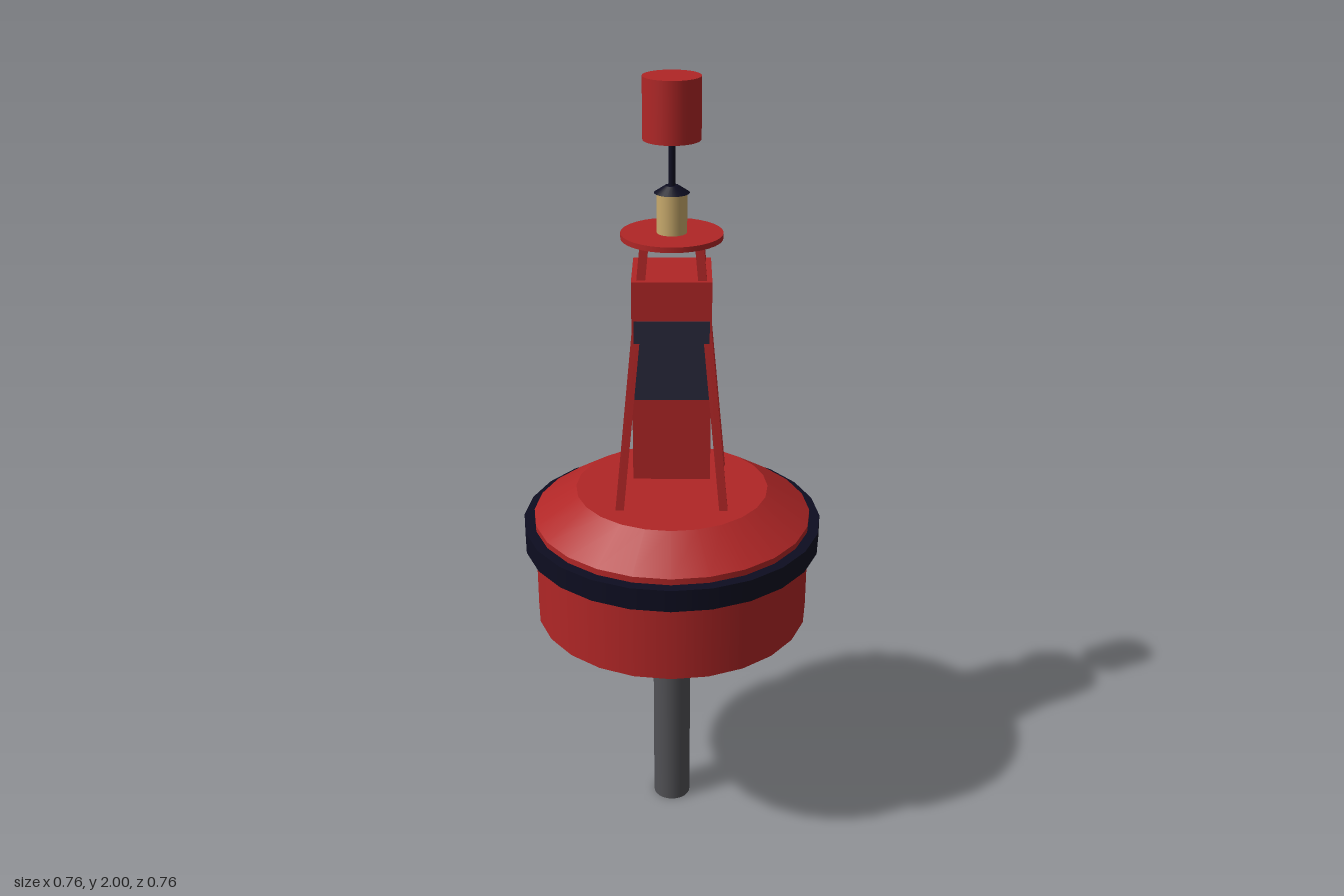
import * as THREE from 'three';

const paint = (name, color) => {
  const m = new THREE.MeshStandardMaterial({ color });
  m.name = name;
  return m;
};

export function createModel() {
  const red = paint('buoyRed', 0xb02626);
  const navy = paint('fenderNavy', 0x0d0d20);
  const slate = paint('panelSlate', 0x29293b);
  const grey = paint('poleGrey', 0x515155);
  const brass = paint('lanternBrass', 0xc8aa6c);

  const buoy = new THREE.Group();
  buoy.name = 'buoy';

  const add = (name, geometry, material) => {
    const mesh = new THREE.Mesh(geometry, material);
    mesh.name = name;
    buoy.add(mesh);
    return mesh;
  };

  // Upright round part between heights y0 and y1
  const round = (name, rBottom, rTop, y0, y1, material, sides = 24) => {
    const geometry = new THREE.CylinderGeometry(rTop, rBottom, y1 - y0, sides);
    add(name, geometry.translate(0, (y0 + y1) / 2, 0), material);
  };

  // Float and its tail tube
  round('tailTube', 0.05, 0.05, 0, 0.62, grey);
  round('floatBody', 0.355, 0.355, 0.617, 0.9, red);
  round('floatShoulder', 0.355, 0.245, 0.9, 0.97, red);
  round('fender', 0.382, 0.382, 0.826, 0.884, navy);

  // Square tower with a dark panel on the front and back
  const tower = new THREE.BoxGeometry(0.19, 0.51, 0.19).translate(0, 1.291, 0);
  add('tower', tower, red);
  for (const side of [1, -1]) {
    const panel = add('towerPanel', new THREE.BoxGeometry(0.18, 0.2, 0.004), slate);
    panel.position.set(0, 1.35, side * 0.0955);
  }

  // Four square legs leaning inward, each sheared toward the platform
  const [legBase, legTop, footOut, headOut] = [0.965, 1.63, 0.129, 0.064];
  for (const sx of [1, -1]) {
    for (const sz of [1, -1]) {
      const leg = new THREE.BoxGeometry(0.021, legTop - legBase, 0.021);
      const p = leg.attributes.position;
      for (let i = 0; i < p.count; i++) {
        const upper = p.getY(i) > 0;
        const out = upper ? headOut : footOut;
        p.setXYZ(i, p.getX(i) + sx * out, upper ? legTop : legBase, p.getZ(i) + sz * out);
      }
      leg.computeVertexNormals();
      add('leg', leg, red);
    }
  }

  // Platform, lantern and topmark
  round('platform', 0.122, 0.122, 1.625, 1.638, red, 32);
  round('lantern', 0.036, 0.036, 1.638, 1.735, brass);
  round('lanternCap', 0.042, 0.016, 1.733, 1.75, navy);
  round('topmarkRod', 0.008, 0.008, 1.745, 1.86, navy, 12);
  round('topmark', 0.068, 0.068, 1.857, 2, red, 32);

  return buoy;
}
